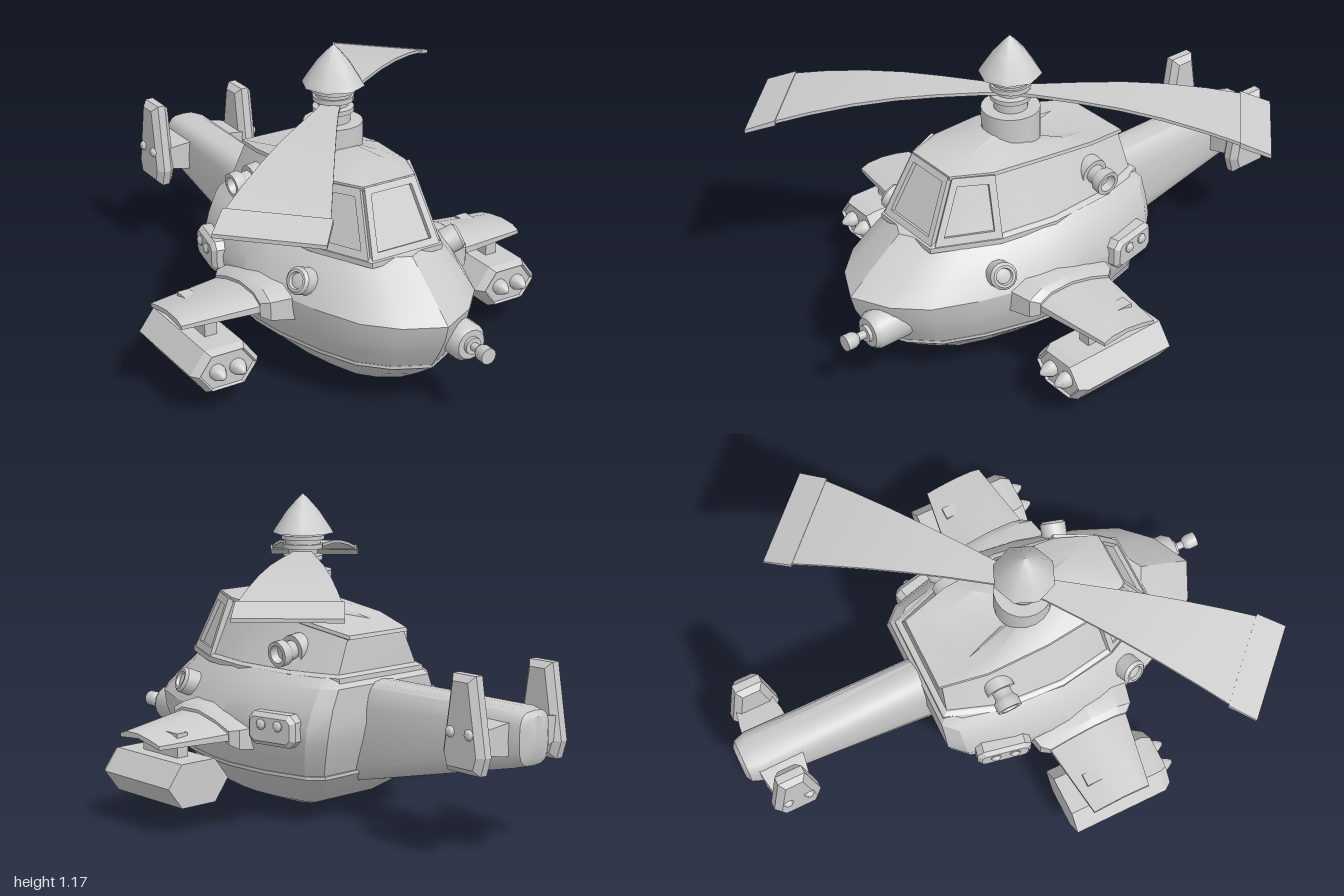
import * as THREE from 'three';
import { toCreasedNormals } from 'three/addons/utils/BufferGeometryUtils.js';

const V = (x, y, z) => new THREE.Vector3(x, y, z);
const grey = new THREE.MeshStandardMaterial({ color: 0xcccccc });

function add(parent, name, geo, crease = 0.5) {
  const mesh = new THREE.Mesh(toCreasedNormals(geo, crease), grey);
  mesh.name = name;
  parent.add(mesh);
  return mesh;
}

// Skin a row of closed rings and cap both ends, facing outward
function loft(rings) {
  const n = rings[0].length, pos = [], index = [];
  rings.forEach(r => r.forEach(p => pos.push(p.x, p.y, p.z)));
  for (let k = 0; k < rings.length - 1; k++) {
    for (let i = 0; i < n; i++) {
      const j = (i + 1) % n, a = k * n + i, b = k * n + j;
      index.push(a, b, b + n, a, b + n, a + n);
    }
  }
  [0, rings.length - 1].forEach((k, end) => {
    const c = V(0, 0, 0);
    rings[k].forEach(p => c.addScaledVector(p, 1 / n));
    const ci = pos.length / 3;
    pos.push(c.x, c.y, c.z);
    for (let i = 0; i < n; i++) {
      const a = k * n + i, b = k * n + (i + 1) % n;
      if (end) index.push(a, b, ci); else index.push(b, a, ci);
    }
  });
  let volume = 0;
  const at = i => V(pos[3 * i], pos[3 * i + 1], pos[3 * i + 2]);
  for (let i = 0; i < index.length; i += 3)
    volume += at(index[i]).dot(at(index[i + 1]).cross(at(index[i + 2])));
  if (volume < 0) index.reverse();
  const geo = new THREE.BufferGeometry();
  geo.setAttribute('position', new THREE.Float32BufferAttribute(pos, 3));
  geo.setIndex(index);
  return geo;
}

// Turned part along an axis; profile is [radius, distance] pairs
function turned(parent, name, profile, origin, axis, sides = 16) {
  const geo = new THREE.LatheGeometry(profile.map(([r, d]) => new THREE.Vector2(r, d)), sides);
  const mesh = add(parent, name, geo, 0.7);
  mesh.quaternion.setFromUnitVectors(V(0, 1, 0), axis.clone().normalize());
  mesh.position.copy(origin);
  return mesh;
}

// Raised window frame on four corners
function windowFrame(parent, name, corners, inset) {
  const c = V(0, 0, 0);
  corners.forEach(p => c.addScaledVector(p, 0.25));
  const u = corners[1].clone().sub(corners[0]).normalize();
  const n = u.clone().cross(corners[3].clone().sub(corners[0])).normalize();
  if (n.dot(c.clone().sub(V(0, 0.6, 0.2))) < 0) n.negate();
  const v = n.clone().cross(u);
  const flat = corners.map(p => p.clone().sub(c)).map(d => new THREE.Vector2(d.dot(u), d.dot(v)));
  const shape = new THREE.Shape(flat);
  shape.holes.push(new THREE.Path(flat.map(p => p.clone().multiplyScalar(inset))));
  const geo = new THREE.ExtrudeGeometry(shape, { depth: 0.025, bevelEnabled: false });
  geo.translate(0, 0, -0.008);
  geo.applyMatrix4(new THREE.Matrix4().makeBasis(u, v, n).setPosition(c));
  add(parent, name, geo);
}

const mirrored = half => [...half, ...half.slice().reverse().filter(p => p[0] > 0).map(([x, ...r]) => [-x, ...r])];

// Bevelled plate lying in the z-y plane, facing sideways
function plate(parent, name, outline, depth, bevel) {
  const shape = new THREE.Shape(outline.map(([z, y]) => new THREE.Vector2(-z, y)));
  const geo = new THREE.ExtrudeGeometry(shape, { depth, bevelThickness: bevel, bevelSize: bevel, bevelOffset: -bevel, bevelSegments: 1 });
  geo.translate(0, 0, -depth / 2);
  geo.rotateY(Math.PI / 2);
  return add(parent, name, geo, 0.3);
}

export function createModel() {
  const model = new THREE.Group();
  model.name = 'helicopter';

  // Hull: plan outline scaled per level [y, halfWidth, zFront, zBack]
  const plan = mirrored([[0, 1], [0.36, 0.94], [0.62, 0.85], [0.8, 0.71], [0.95, 0.53], [1, 0.4], [0.97, 0.22], [0.84, 0.05], [0.7, 0], [0, 0]]);
  const level = ([y, w, zf, zb]) => plan.map(([x, t]) => V(x * w, y, zb + t * (zf - zb)));
  add(model, 'hull', loft([[0.18, 0.335, 0.805, -0.2], [0.25, 0.365, 0.85, -0.23], [0.32, 0.385, 0.885, -0.255],
    [0.38, 0.39, 0.9, -0.27], [0.45, 0.365, 0.815, -0.27], [0.52, 0.325, 0.725, -0.27], [0.555, 0.29, 0.68, -0.24]].map(level)), 0.45);
  add(model, 'belly', loft([[0.005, 0.03, 0.33, 0.2], [0.02, 0.11, 0.48, 0.04], [0.055, 0.2, 0.63, -0.06],
    [0.12, 0.275, 0.73, -0.16], [0.182, 0.345, 0.815, -0.215], [0.194, 0.345, 0.815, -0.215]].map(level)), 0.45);

  // Cabin: sill, walls and domed roof
  const base = mirrored([[0.14, 0.55, 0.63], [0.245, 0.55, 0.41], [0.28, 0.55, 0.2], [0.265, 0.55, -0.05], [0.2, 0.55, -0.235]]);
  const eave = mirrored([[0.105, 0.775, 0.52], [0.165, 0.765, 0.38], [0.185, 0.755, 0.18], [0.18, 0.725, -0.05], [0.14, 0.69, -0.225]]);
  const ring = (pts, s, dy) => pts.map(([x, y, z]) => V(x * s, y + dy, 0.18 + (z - 0.18) * s));
  add(model, 'cabin', loft([ring(base, 1, -0.02), ring(base, 1, 0), ring(eave, 1, 0)]), 0.3);
  add(model, 'cabinSill', loft([ring(base, 1.05, -0.015), ring(base, 1.05, 0.005), ring(base, 1, 0.014)]));
  add(model, 'roof', loft([ring(eave, 0.95, -0.012), ring(eave, 1.04, -0.004), ring(eave, 1.03, 0.01), ring(eave, 0.68, 0.032), ring(eave, 0.3, 0.045)]), 0.45);
  const at = p => V(...p), last = base.length - 1;
  windowFrame(model, 'windshieldFrame', [base[last], base[0], eave[0], eave[last]].map(at), 0.8);
  for (const s of [1, -1])
    windowFrame(model, 'sideWindowFrame', [base[0], base[1], eave[1], eave[0]].map(([x, y, z]) => V(s * x, y, z)), 0.74);

  // Rotor mast and cap
  const hub = V(0, 0, 0.17), up = V(0, 1, 0);
  turned(model, 'mast', [[0, 0.76], [0.108, 0.76], [0.108, 0.89], [0.062, 0.89], [0.062, 0.928], [0.075, 0.928], [0.075, 0.945],
    [0.055, 0.95], [0.055, 0.968], [0.075, 0.97], [0.075, 0.988], [0.066, 0.988], [0.066, 1.005], [0.082, 1.005], [0.082, 1.02], [0, 1.02]], hub, up, 20);
  turned(model, 'rotorCap', [[0, 1.02], [0.115, 1.028], [0.105, 1.045], [0.062, 1.11], [0.025, 1.152], [0, 1.176]], hub, up, 8);

  // Two drooping blades with thicker tips: [distance, y, halfWidth, halfThickness]
  const bladeRows = [[0, 0.955, 0.03, 0.008], [0.1, 0.955, 0.042, 0.006], [0.25, 0.954, 0.068, 0.006], [0.4, 0.948, 0.096, 0.006],
    [0.55, 0.932, 0.124, 0.006], [0.7, 0.906, 0.152, 0.006], [0.825, 0.877, 0.175, 0.006]];
  const tipRows = [[0.82, 0.878, 0.182, 0.01], [0.932, 0.84, 0.187, 0.007]];
  const slab = ([r, y, w, t]) => [[-w, -t], [w, -t], [w, t], [-w, t]].map(([z, dy]) => V(r, y + dy, z));
  for (const turn of [0, Math.PI]) {
    const blade = new THREE.Group();
    blade.name = 'rotorBlade';
    add(blade, 'blade', loft(bladeRows.map(slab)));
    add(blade, 'bladeTip', loft(tipRows.map(slab)));
    blade.position.copy(hub);
    blade.rotation.y = Math.PI / 4 + turn;
    model.add(blade);
  }

  // Tail boom: rounded sections [z, halfWidth, yBottom, yTop]
  const boom = [[-0.1, 0.092, 0.12, 0.53], [-0.17, 0.092, 0.135, 0.53], [-0.94, 0.09, 0.322, 0.532], [-0.985, 0.075, 0.335, 0.525], [-1, 0.052, 0.36, 0.505]];
  const soft = v => Math.sign(v) * Math.pow(Math.abs(v), 0.6);
  add(model, 'tailBoom', loft(boom.map(([z, w, y0, y1]) => Array.from({ length: 20 }, (_, i) => {
    const a = i * Math.PI / 10;
    return V(w * soft(Math.cos(a)), (y0 + y1) / 2 + (y1 - y0) / 2 * soft(Math.sin(a)), z);
  }))), 0.6);

  // Nose gun
  turned(model, 'noseGun', [[0, -0.15], [0.07, -0.15], [0.07, 0], [0.055, 0.022], [0.032, 0.022], [0.032, 0.035], [0.015, 0.035],
    [0.015, 0.065], [0.024, 0.072], [0.03, 0.085], [0.03, 0.12], [0, 0.12]], V(0.1, 0.285, 0.88), V(0, 0, 1));

  for (const s of [1, -1]) {
    const side = new THREE.Group();
    side.name = s > 0 ? 'leftSide' : 'rightSide';
    model.add(side);

    // Tail fin on a flared strut, with two rivets
    const box = (x, y, z, h, d) => [[-d, -h], [d, -h], [d, h], [-d, h]].map(([dz, dy]) => V(s * x, y + dy, z + dz));
    add(side, 'finStrut', loft([box(0.05, 0.43, -0.86, 0.06, 0.09), box(0.11, 0.43, -0.86, 0.055, 0.085), box(0.19, 0.43, -0.86, 0.04, 0.07)]));
    const fin = plate(side, 'tailFin', [[-0.785, 0.32], [-0.765, 0.385], [-0.805, 0.655], [-0.91, 0.655], [-0.955, 0.385], [-0.935, 0.32]], 0.03, 0.022);
    fin.position.x = s * 0.193;
    for (const z of [-0.815, -0.9]) turned(side, 'finRivet', [[0.02, -0.01], [0.02, 0.006], [0.012, 0.016], [0, 0.019]], V(s * 0.226, 0.46, z), V(s, 0, 0), 10);

    // Stub wing: cambered section [z fraction, rise], swept down to the tip
    const camber = [[0, 0], [0.25, 0.03], [0.55, 0.052], [0.85, 0.05], [1, 0.025]];
    const section = (x, z0, z1, y, k, t) => [...camber.map(([f, r]) => [f, r * k]), ...camber.slice().reverse().map(([f, r]) => [f, r * k - t])]
      .map(([f, dy]) => V(s * x, y + dy, z0 + f * (z1 - z0)));
    add(side, 'stubWing', loft([section(0.36, 0.07, 0.4, 0.34, 1, 0.03), section(0.44, 0.08, 0.4, 0.335, 1, 0.026), section(0.73, 0.12, 0.35, 0.327, 0.5, 0.014)]));
    add(side, 'wingRoot', loft([section(0.33, 0.03, 0.45, 0.355, 1.2, 0.085), section(0.42, 0.05, 0.43, 0.35, 1.2, 0.07), section(0.445, 0.08, 0.4, 0.345, 1, 0.05)]));

    // Rocket pod under the wing
    const hex = [[-0.135, 0], [-0.075, -0.08], [0.075, -0.08], [0.135, 0], [0.075, 0.08], [-0.075, 0.08]];
    const podRing = (z, k) => hex.map(([x, y]) => V(s * 0.61 + x * k, 0.186 + y * k, z));
    add(side, 'rocketPod', loft([podRing(0.05, 1), podRing(0.43, 1), podRing(0.46, 0.84), podRing(0.45, 0.78)]), 0.2);
    const pylon = add(side, 'pylon', new THREE.BoxGeometry(0.048, 0.1, 0.2));
    pylon.position.set(s * 0.61, 0.305, 0.24);
    for (const dx of [-0.04, 0.04])
      turned(side, 'rocket', [[0.03, -0.04], [0.03, 0.01], [0.02, 0.03], [0.008, 0.048], [0, 0.052]], V(s * 0.61 + dx, 0.186, 0.455), V(0, 0, 1), 12);

    // Exhaust stub on the cabin
    turned(side, 'exhaust', [[0, -0.06], [0.055, -0.06], [0.055, 0.005], [0.036, 0.005], [0.036, 0.03], [0.048, 0.045], [0.048, 0.08],
      [0.033, 0.08], [0.028, 0.05], [0, 0.05]], V(s * 0.23, 0.635, -0.03), V(s, -0.12, 0));

    // Porthole lamp on the hull
    turned(side, 'sideLamp', [[0, -0.06], [0.05, -0.06], [0.05, 0.018], [0.04, 0.028], [0.031, 0.028], [0.027, 0.016], [0, 0.022]],
      V(s * 0.325, 0.46, 0.475), V(s, 0.45, 0.3));

    // Riveted side box
    const boxGroup = new THREE.Group();
    boxGroup.name = 'sideBox';
    plate(boxGroup, 'boxBody', [[0.105, -0.035], [0.105, 0.035], [0.08, 0.06], [-0.08, 0.06], [-0.105, 0.035], [-0.105, -0.035], [-0.08, -0.06], [0.08, -0.06]], 0.06, 0.016);
    for (const z of [-0.037, 0.037]) turned(boxGroup, 'boxRivet', [[0.02, -0.01], [0.02, 0.006], [0.012, 0.015], [0, 0.018]], V(s * 0.044, 0.018, z), V(s, 0, 0), 10);
    boxGroup.position.set(s * 0.352, 0.37, -0.08);
    boxGroup.rotation.y = s * 0.2;
    side.add(boxGroup);
  }
  return model;
}
